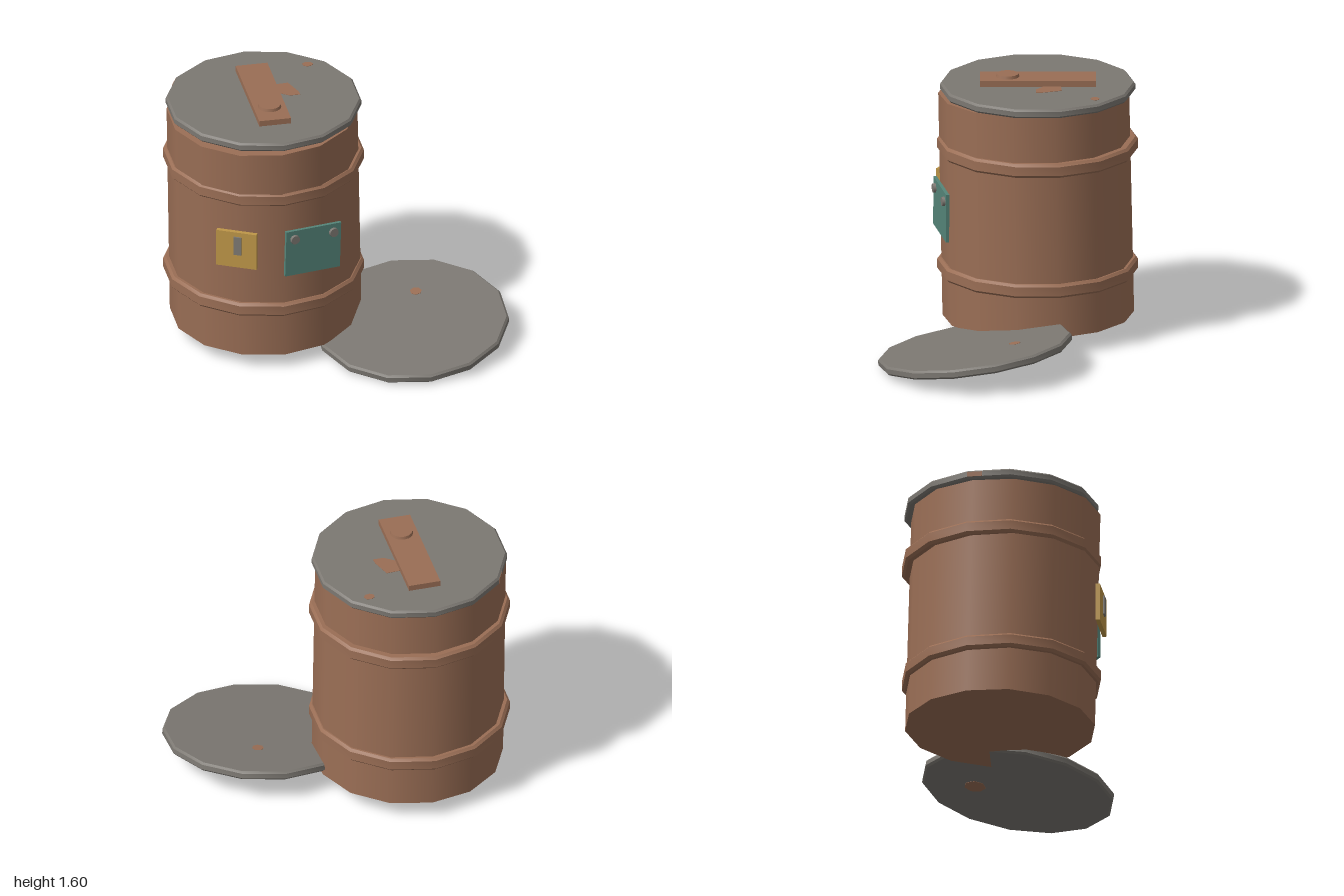
import * as THREE from 'three';
import { toCreasedNormals } from 'three/addons/utils/BufferGeometryUtils.js';

const SIDES = 14;

function material(name, color) {
  const m = new THREE.MeshStandardMaterial({ color });
  m.name = name;
  return m;
}

export function createModel() {
  const rust = material('rust', 0x9a6e55);
  const grey = material('greyMetal', 0x7c7872);
  const yellow = material('yellowPlate', 0xbe9648);
  const teal = material('tealPlate', 0x558579);

  const model = new THREE.Group();
  model.name = 'barrelWithLids';

  function add(parent, name, geometry, mat, x = 0, y = 0, z = 0) {
    const mesh = new THREE.Mesh(geometry, mat);
    mesh.name = name;
    mesh.position.set(x, y, z);
    parent.add(mesh);
    return mesh;
  }
  function group(parent, name, x, y, z) {
    const g = new THREE.Group();
    g.name = name;
    g.position.set(x, y, z);
    parent.add(g);
    return g;
  }
  // Turned profile, smooth around the sides and sharp at the bevels
  function turned(points) {
    const profile = points.map(([r, y]) => new THREE.Vector2(r, y));
    return toCreasedNormals(new THREE.LatheGeometry(profile, SIDES), 0.5);
  }
  function disc(r, h, bevel) {
    return turned([[0, -h / 2], [r - bevel, -h / 2], [r, -h / 2 + bevel],
      [r, h / 2 - bevel], [r - bevel, h / 2], [0, h / 2]]);
  }
  // Thin flat patch lying on a lid, outlined in x and z
  function patch(parent, name, outline, y, depth = 0.003) {
    const shape = new THREE.Shape(outline.map(([x, z]) => new THREE.Vector2(x, -z)));
    const geo = new THREE.ExtrudeGeometry(shape, { depth, bevelEnabled: false });
    geo.rotateX(-Math.PI / 2);
    return add(parent, name, geo, rust, 0, y, 0);
  }
  function blob(cx, cz, rx, rz, n = 7) {
    return Array.from({ length: n }, (_, i) => {
      const a = (i / n) * Math.PI * 2;
      return [cx + Math.cos(a) * rx, cz + Math.sin(a) * rz];
    });
  }

  // Slightly leaning barrel body
  const body = add(model, 'barrelBody', new THREE.CylinderGeometry(0.573, 0.575, 1.385, SIDES), rust,
    -0.412, 0.797, -0.17);
  body.rotation.set(0.02, 0, 0.02);

  // Raised hoops
  for (const y of [0.412, 1.167]) {
    add(model, 'barrelHoop', turned([[0.55, -0.043], [0.588, -0.043], [0.603, -0.028],
      [0.603, 0.028], [0.588, 0.043], [0.55, 0.043]]), rust, -0.412, y, -0.18);
  }

  // Lid on the barrel, with its handle bar, knob and rust patches
  const lidGeo = disc(0.587, 0.054, 0.012);
  const top = group(model, 'topLid', -0.412, 1.522, -0.18);
  add(top, 'lidDisc', lidGeo, grey);
  add(top, 'lidBar', new THREE.BoxGeometry(0.195, 0.04, 0.695), rust, 0, 0.043, -0.003);
  add(top, 'lidKnob', new THREE.CylinderGeometry(0.066, 0.072, 0.024, 14), rust, 0, 0.069, 0.18);
  patch(top, 'lidRustPatch', [[0.09, -0.14], [0.18, -0.145], [0.22, -0.03], [0.225, 0.01],
    [0.16, 0.01], [0.09, -0.04]], 0.026);
  patch(top, 'lidRustSpot', blob(0.343, -0.345, 0.034, 0.028), 0.026);
  const rim = group(top, 'rimRust', 0, 0, 0);
  rim.rotation.y = Math.PI * (1 + 5 / SIDES);
  add(rim, 'rimRustPatch', new THREE.BoxGeometry(0.09, 0.03, 0.006), rust, -0.085, 0, 0.571);

  // Second lid leaning on the ground
  const fallen = group(model, 'fallenLid', 0.415, 0.122, 0.195);
  fallen.rotation.set(0.141, 0, 0.066);
  add(fallen, 'lidDisc', lidGeo, grey);
  patch(fallen, 'fallenRustSpot', blob(0.08, -0.245, 0.036, 0.036), 0.026);
  patch(fallen, 'fallenRustUnderside', blob(0.08, -0.245, 0.08, 0.065), -0.029);

  // Yellow lock plate with its slot
  const lock = group(model, 'lockPlate', -0.688, 0.835, 0.36);
  lock.rotation.y = -0.48;
  add(lock, 'lockBase', new THREE.BoxGeometry(0.25, 0.238, 0.026), yellow);
  add(lock, 'lockSlot', new THREE.BoxGeometry(0.048, 0.12, 0.02), grey, 0.008, 0.03, 0.013);

  // Teal sign plate held by two bolts
  const sign = group(model, 'signPlate', -0.232, 0.805, 0.398);
  sign.rotation.set(0, 0.215, -0.03);
  add(sign, 'signBase', new THREE.BoxGeometry(0.36, 0.3, 0.02), teal);
  for (const x of [-0.125, 0.13]) {
    const bolt = add(sign, 'signBolt', new THREE.CylinderGeometry(0.028, 0.031, 0.026, 10), grey, x, 0.095, 0.014);
    bolt.rotation.x = Math.PI / 2;
  }

  return model;
}
